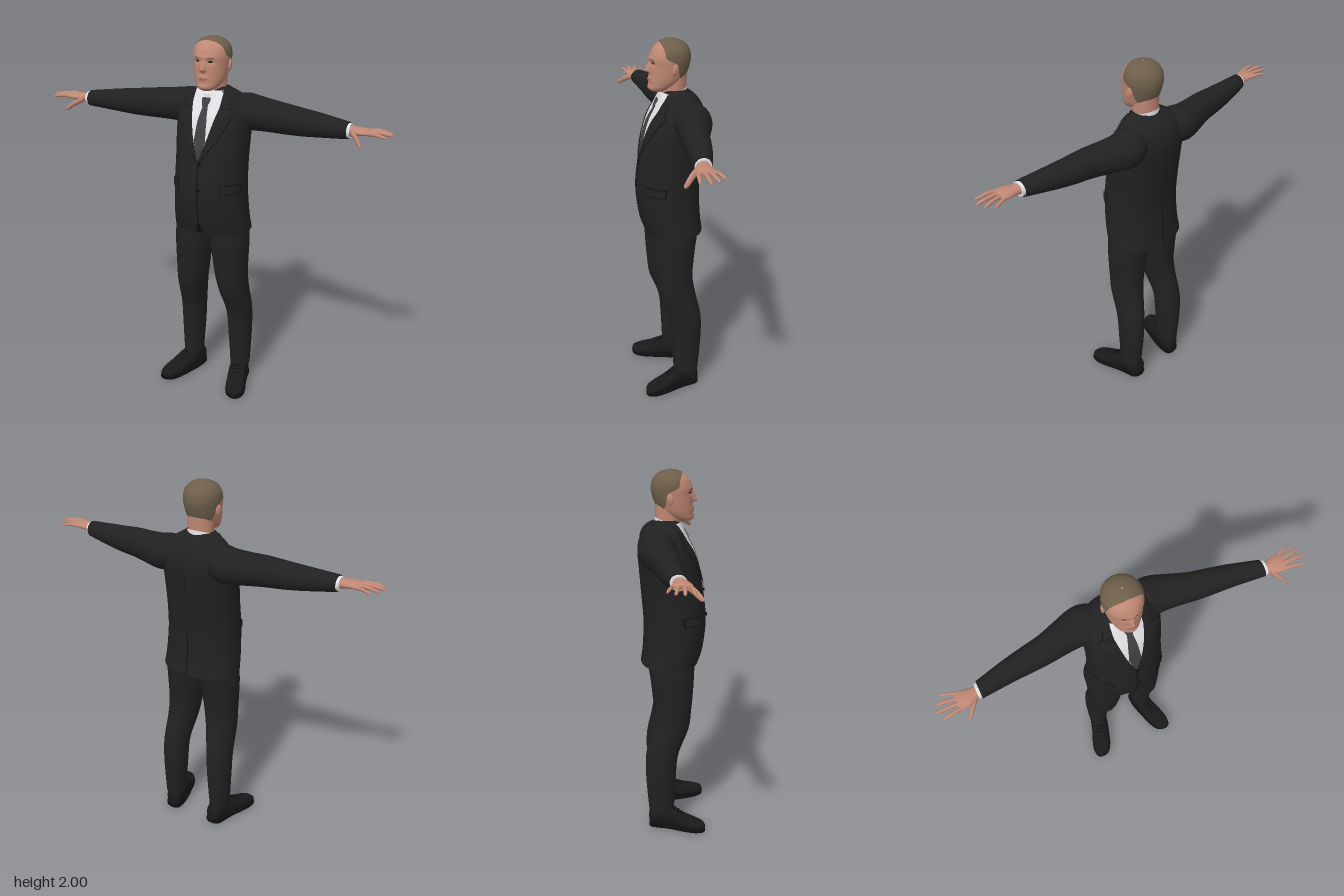
import * as THREE from 'three';

const paint = (name, color, side = THREE.FrontSide) => {
  const m = new THREE.MeshStandardMaterial({ color, side });
  m.name = name;
  return m;
};
const lerp = THREE.MathUtils.lerp;
const bump = (d, w) => Math.exp(-(d / w) * (d / w));

// Smooth value between the rows of a profile table, t runs 0..1
function at(rows, t) {
  const n = rows.length - 1, i = Math.min(n - 1, Math.floor(t * n)), f = t * n - i;
  const [a, b, c, d] = [rows[Math.max(0, i - 1)], rows[i], rows[i + 1], rows[Math.min(n, i + 2)]];
  return b.map((q, k) => 0.5 * (2 * q + (c[k] - a[k]) * f + (2 * a[k] - 5 * q + 4 * c[k] - d[k]) * f * f
    + (3 * q - a[k] - 3 * c[k] + d[k]) * f * f * f));
}
// Row at a given height, for tables whose first column rises
function atHeight(rows, y) {
  let lo = 0, hi = 1;
  for (let i = 0; i < 30; i++) {
    const mid = (lo + hi) / 2;
    if (at(rows, mid)[0] < y) lo = mid; else hi = mid;
  }
  return at(rows, lo);
}
function geometry(pos, idx) {
  const g = new THREE.BufferGeometry();
  g.setAttribute('position', new THREE.Float32BufferAttribute(pos, 3));
  g.setIndex(idx);
  g.computeVertexNormals();
  return g;
}
// Skin a profile table: place(row, cos, sin) gives each point of a ring
function loft(rows, place, { n = 32, steps = 5, p = 2, caps = true } = {}) {
  const pos = [], idx = [], m = (rows.length - 1) * steps;
  const pw = (v) => Math.sign(v) * Math.pow(Math.abs(v), 2 / p);
  const ring = (i) => {
    const row = at(rows, i / m), pts = [];
    for (let j = 0; j < n; j++) {
      const a = (j / n) * Math.PI * 2;
      pts.push(place(row, pw(Math.cos(a)), pw(Math.sin(a))));
    }
    return pts;
  };
  for (let i = 0; i <= m; i++) {
    pos.push(...ring(i).flat());
    for (let j = 0; j < n && i < m; j++) {
      const a = i * n + j, b = i * n + (j + 1) % n;
      idx.push(a, b, b + n, a, b + n, a + n);
    }
  }
  for (const end of caps ? [0, m] : []) {
    const pts = ring(end), s = pos.length / 3;
    pos.push(...pts.flat());
    pos.push(...[0, 1, 2].map((k) => pts.reduce((q, v) => q + v[k], 0) / n));
    for (let j = 0; j < n; j++) {
      const a = s + j, b = s + (j + 1) % n;
      if (end) idx.push(a, b, s + n); else idx.push(b, a, s + n);
    }
  }
  // Turn the faces outward, whichever way the rings run
  let vol = 0;
  const P = (i) => new THREE.Vector3(pos[3 * i], pos[3 * i + 1], pos[3 * i + 2]);
  for (let i = 0; i < idx.length; i += 3) vol += P(idx[i]).dot(P(idx[i + 1]).cross(P(idx[i + 2])));
  return geometry(pos, vol < 0 ? idx.reverse() : idx);
}
function grid(nu, nv, fn) {
  const pos = [], idx = [];
  for (let i = 0; i <= nv; i++) for (let j = 0; j <= nu; j++) {
    pos.push(...fn(j / nu, i / nv));
    const a = i * (nu + 1) + j, c = a + nu + 1;
    if (i < nv && j < nu) idx.push(a, a + 1, c + 1, a, c + 1, c);
  }
  return geometry(pos, idx);
}
// Thin piece laid on a surface; rows are [y, x1, x2] from top to bottom
function patch(rows, surface, side = 1) {
  const n = rows.length - 1, per = 6;
  return grid(10, n * per, (u, v) => {
    const i = Math.min(n - 1, Math.floor(v * n + 1e-9)), f = v * n - i;
    const [y, a, b] = rows[i].map((q, k) => lerp(q, rows[i + 1][k], f));
    const lo = Math.min(a, b), hi = Math.max(a, b);
    return surface(side > 0 ? lerp(hi, lo, u) : lerp(lo, hi, u), y);
  });
}
const mirrorRows = (rows, s) => rows.map(([y, a, b]) => [y, a * s, b * s]);

// Profiles: [height, centre z, half width, half depth]
const TORSO = [[0.965, -0.018, 0.218, 0.158], [1.05, 0, 0.21, 0.165], [1.2, 0.01, 0.201, 0.17], [1.35, -0.003, 0.198, 0.168],
  [1.48, -0.02, 0.203, 0.161], [1.58, -0.038, 0.205, 0.15], [1.65, -0.05, 0.188, 0.125], [1.7, -0.047, 0.145, 0.098],
  [1.735, -0.032, 0.09, 0.066], [1.745, -0.03, 0.078, 0.058]];
const HEAD = [[1.735, 0.055, 0.03, 0.035], [1.75, 0.05, 0.055, 0.056], [1.78, 0.024, 0.075, 0.082], [1.82, 0.008, 0.087, 0.096],
  [1.87, -0.002, 0.094, 0.104], [1.91, -0.005, 0.098, 0.106], [1.95, -0.008, 0.091, 0.094], [1.98, -0.01, 0.067, 0.066],
  [1.995, -0.01, 0.033, 0.033], [2, -0.01, 0.003, 0.003]];
const P = 2.2;

// Nose, eye sockets, brow, lips and chin as a rule over the face
function relief(x, y) {
  const nose = y > 1.845 ? Math.max(0, 1 - (y - 1.845) / 0.05) : Math.max(0, 1 - (1.845 - y) / 0.016);
  return 0.027 * bump(x, 0.013) * nose
    - 0.008 * bump(Math.abs(x) - 0.036, 0.018) * bump(y - 1.885, 0.012)
    + 0.004 * bump(x, 0.05) * bump(y - 1.908, 0.01)
    + 0.005 * bump(x, 0.03) * bump(y - 1.8, 0.014) + 0.005 * bump(x, 0.025) * bump(y - 1.757, 0.014);
}
const onTorso = (k, side = 1) => (x, y) => {
  const [, cz, rx, rz] = atHeight(TORSO, y);
  const d = Math.pow(Math.max(0, 1 - Math.pow(Math.abs(x) / rx, P)), 1 / P) * rz;
  return [x * (1 + k), y, cz + side * d * (1 + k)];
};
const onFace = (x, y) => {
  const [, cz, rx, rz] = atHeight(HEAD, y);
  return [x, y, cz + rz * Math.sqrt(Math.max(0, 1 - (x / rx) ** 2)) + relief(x, y) + 0.002];
};

export function createModel() {
  const man = new THREE.Group();
  man.name = 'suitedMan';
  const suit = paint('suitCloth', 0x212122), seam = paint('seamBlack', 0x0e0e0f), leather = paint('shoeLeather', 0x19191a);
  const shirt = paint('shirtWhite', 0xe2e2e6, THREE.DoubleSide), tieGrey = paint('tieGrey', 0x3f3f42);
  const skin = paint('skin', 0xc08874), hairBrown = paint('hairBrown', 0x6e5f4b);
  const lip = paint('lips', 0xa66a5c), dark = paint('eyeDark', 0x2c211d);
  const add = (name, geo, mat) => {
    const m = new THREE.Mesh(geo, mat);
    m.name = name;
    man.add(m);
    return m;
  };
  const upright = ([y, cz, rx, rz], c, s) => [rx * c, y, cz + rz * s];

  // Jacket body with seams, buttons, shirt front and tie
  add('jacketBody', loft(TORSO, upright, { n: 64, steps: 6, p: P }), suit);
  add('shirtFront', patch([[1.73, -0.08, 0.08], [1.65, -0.077, 0.077], [1.5, -0.042, 0.042], [1.38, -0.004, 0.004]], onTorso(0.018)), shirt);
  add('tieKnot', patch([[1.695, -0.02, 0.02], [1.685, -0.024, 0.024], [1.65, -0.013, 0.013]], onTorso(0.08)), tieGrey);
  add('tie', patch([[1.66, -0.013, 0.013], [1.58, -0.025, 0.025], [1.48, -0.032, 0.032], [1.38, -0.005, 0.005]], onTorso(0.03)), tieGrey);
  add('frontOpening', patch([[1.385, -0.003, 0.003], [1.03, -0.003, 0.003], [0.97, -0.022, 0.022]], onTorso(0.012)), seam);
  add('backSeam', patch([[1.66, -0.001, 0.001], [1.2, -0.001, 0.001]], onTorso(0.01, -1), -1), seam);
  add('backVent', patch([[1.2, -0.003, 0.003], [0.968, -0.003, 0.003]], onTorso(0.012, -1), -1), seam);
  for (const y of [1.36, 1.22]) {
    const b = add('button', new THREE.CylinderGeometry(0.009, 0.009, 0.008, 16).rotateX(Math.PI / 2), seam);
    b.position.set(...onTorso(0.02)(0.008, y));
  }

  // Shirt collar band and neck
  add('shirtCollar', loft([[1.685, 0.083], [1.735, 0.077]], ([y, r], c, s) => [r * c, y - 0.025 * s, -0.02 + r * 0.95 * s],
    { n: 40, caps: false }), shirt);
  add('neck', loft([[1.66, -0.025, 0.07, 0.065], [1.74, -0.025, 0.069, 0.066], [1.84, -0.025, 0.073, 0.07]], upright), skin);

  // Head, hair cap, mouth
  add('head', loft(HEAD, (r, c, s) => {
    const [x, y, z] = upright(r, c, s);
    return [x, y, s > 0 ? z + relief(x, y) : z];
  }, { n: 96, steps: 10 }), skin);
  const hairline = [[1.775, -0.06], [1.83, -0.035], [1.875, -0.03], [1.895, -0.01], [1.915, 0.028], [1.95, 0.036], [1.98, 0.046], [2, 0.06]];
  add('hair', grid(64, 50, (u, v) => {
    const y = lerp(1.775, 1.9998, Math.sin(v * Math.PI / 2)), [, cz, rx, rz] = atHeight(HEAD, y);
    const edge = THREE.MathUtils.clamp((atHeight(hairline, y)[1] - cz) / rz, -1, 1);
    const half = Math.PI / 2 + Math.asin(edge), a = -Math.PI / 2 + lerp(half, -half, u);
    return [rx * 1.03 * Math.cos(a), y + 0.002, cz + rz * 1.03 * Math.sin(a)];
  }), hairBrown);
  add('mouth', patch([[1.806, -0.012, 0.012], [1.8, -0.03, 0.03], [1.793, -0.014, 0.014]], onFace), lip);

  for (const s of [1, -1]) {
    const along = ([x, cy, cz, ry, rz], c, q) => [s * x, cy + ry * c, cz + rz * q];
    const cloth = (name, rows, k, mat) => add(name, patch(mirrorRows(rows, s), onTorso(k)), mat);

    // Eyes, brows, ears
    add('eye', patch(mirrorRows([[1.891, 0.031, 0.042], [1.886, 0.024, 0.049], [1.881, 0.03, 0.044]], s), onFace), dark);
    add('eyebrow', patch(mirrorRows([[1.908, 0.03, 0.048], [1.903, 0.02, 0.056]], s), onFace), hairBrown);
    const ear = add('ear', new THREE.SphereGeometry(1, 20, 14), skin);
    ear.scale.set(0.01, 0.031, 0.018);
    ear.position.set(s * 0.096, 1.86, -0.014);
    ear.rotation.set(-0.15, s * 0.35, 0);

    // Collar, lapel, pocket flap, each with a dark edge below it
    cloth('collarWing', [[1.715, 0.012, 0.076], [1.67, 0.024, 0.078], [1.615, 0.055, 0.066]], 0.03, shirt);
    cloth('jacketCollar', [[1.735, 0.074, 0.086], [1.7, 0.08, 0.112], [1.645, 0.076, 0.126]], 0.045, suit);
    cloth('lapel', [[1.643, 0.076, 0.138], [1.62, 0.071, 0.15], [1.5, 0.041, 0.095], [1.38, 0.002, 0.012]], 0.045, suit);
    cloth('lapelEdge', [[1.7, 0.085, 0.114], [1.648, 0.08, 0.13], [1.642, 0.08, 0.142], [1.615, 0.07, 0.154], [1.5, 0.043, 0.1],
      [1.375, 0.003, 0.016]], 0.03, seam);
    cloth('pocketFlap', [[1.25, 0.123, 0.193], [1.208, 0.123, 0.193]], 0.03, suit);
    cloth('pocketEdge', [[1.254, 0.119, 0.195], [1.203, 0.119, 0.195]], 0.018, seam);

    // Sleeve, cuff and hand
    add('sleeve', loft([[0.08, 1.62, -0.07, 0.07, 0.08], [0.16, 1.612, -0.078, 0.096, 0.1], [0.22, 1.607, -0.08, 0.093, 0.096],
      [0.3, 1.606, -0.064, 0.086, 0.085], [0.4, 1.605, -0.041, 0.08, 0.073], [0.5, 1.602, -0.028, 0.072, 0.066],
      [0.6, 1.602, -0.014, 0.062, 0.058], [0.757, 1.602, 0.015, 0.043, 0.045]], along, { n: 40 }), suit);
    add('cuff', loft([[0.74, 1.602, 0.014, 0.037, 0.04], [0.772, 1.602, 0.018, 0.036, 0.04]], along), shirt);
    add('palm', loft([[0.765, 1.603, 0.019, 0.028, 0.031], [0.79, 1.605, 0.025, 0.024, 0.035], [0.82, 1.608, 0.03, 0.02, 0.045],
      [0.855, 1.61, 0.03, 0.016, 0.05], [0.878, 1.61, 0.03, 0.009, 0.046]], along), skin);
    const finger = (name, a, b, r) => {
      const rows = [[0, 1], [0.45, 0.92], [0.85, 0.75], [0.97, 0.45], [1, 0.08]].map(([t, q]) =>
        [lerp(a[0], b[0], t), lerp(a[1], b[1], t) + 0.006 * Math.sin(t * Math.PI), lerp(a[2], b[2], t), r * q, r * q]);
      add(name, loft(rows, along, { n: 14, steps: 4 }), skin);
    };
    finger('littleFinger', [0.85, 1.608, -0.008], [0.937, 1.605, -0.036], 0.009);
    finger('ringFinger', [0.855, 1.61, 0.018], [0.972, 1.606, 0], 0.0105);
    finger('middleFinger', [0.855, 1.61, 0.042], [0.987, 1.608, 0.04], 0.011);
    finger('indexFinger', [0.85, 1.61, 0.066], [0.965, 1.604, 0.084], 0.0105);
    finger('thumb', [0.785, 1.6, 0.045], [0.858, 1.547, 0.122], 0.017);

    // Trouser leg: [y, centre x, centre z, half width, half depth]
    add('trouserLeg', loft([[1.0, 0.1, -0.012, 0.106, 0.13], [0.9, 0.107, -0.005, 0.108, 0.12], [0.8, 0.114, -0.002, 0.099, 0.111],
      [0.7, 0.12, -0.003, 0.091, 0.103], [0.6, 0.13, -0.017, 0.082, 0.103], [0.45, 0.146, -0.06, 0.07, 0.09],
      [0.3, 0.15, -0.068, 0.064, 0.083], [0.1, 0.153, -0.065, 0.053, 0.07]],
    ([y, cx, cz, rx, rz], c, q) => [s * (cx + rx * c), y, cz + rz * q], { n: 40 }), suit);

    // Shoe: [z, centre x, half width, height], with sole, heel and laces
    const shoe = [[-0.137, 0.14, 0.018, 0.06], [-0.12, 0.142, 0.042, 0.1], [-0.06, 0.15, 0.05, 0.118], [0, 0.166, 0.053, 0.105],
      [0.06, 0.187, 0.056, 0.073], [0.12, 0.205, 0.054, 0.052], [0.165, 0.216, 0.037, 0.038], [0.18, 0.22, 0.012, 0.024]];
    add('shoe', loft(shoe, ([z, cx, w, h], c, q) => [s * (cx + w * c), 0.012 + h * (q + 1) / 2, z], { p: 2.5 }), leather);
    add('sole', loft(shoe, ([z, cx, w], c, q) => [s * (cx + (w + 0.004) * c), 0.012 + 0.01 * q, z], { p: 5 }), seam);
    add('heel', loft(shoe.slice(0, 3), ([z, cx, w], c, q) => [s * (cx + (w + 0.003) * c), 0.015 + 0.015 * q, z], { p: 6 }), seam);
    for (let i = 0; i < 3; i++) {
      const lace = add('lace', new THREE.CapsuleGeometry(0.004, 0.035, 4, 8).rotateZ(Math.PI / 2), seam);
      lace.position.set(s * (0.169 + i * 0.006), 0.113 - i * 0.011, 0.008 + i * 0.02);
      lace.rotation.y = s * 0.25;
    }
  }
  return man;
}
